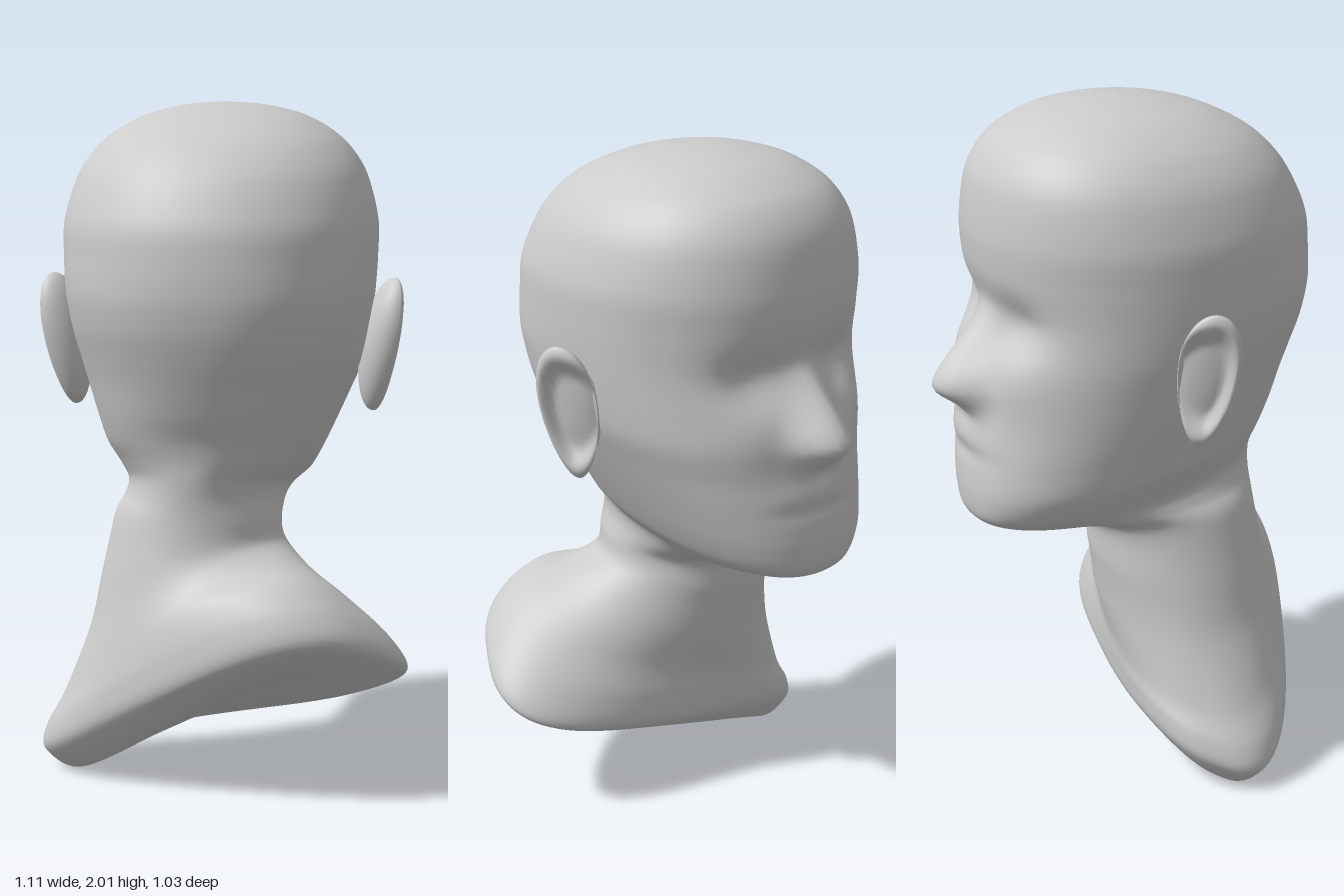
import * as THREE from 'three';

const YAW = 0.6;                                                     // the head looks away to the back right
const SIDE = new THREE.Vector3(Math.cos(YAW), 0, -Math.sin(YAW));    // across the face
const FACE = new THREE.Vector3(-Math.sin(YAW), 0, -Math.cos(YAW));   // where the face looks
const HEAD = new THREE.Vector3(-0.08, 0, -0.01);                     // vertical axis of the head
const v = (x, y, z) => new THREE.Vector3(x, y, z);
const gauss = (x, c, s) => Math.exp(-(((x - c) / s) ** 2));
const step = THREE.MathUtils.smoothstep;

// A cross-section: centre, two half axes, and (squareness, twist, taper)
const section = (c, u, f, power = 2, twist = 0, taper = 0) => ({ c, u, f, k: v(power, twist, taper) });

// Bust and neck, from the underside upwards
const bustSections = [
  section(v(0.05, 0.21, 0.165), v(0.001, 0, 0), v(0, 0, -0.001), 2.4),
  section(v(0.05, 0.2, 0.165), v(0.22, 0.1, -0.08), v(0, -0.01, -0.1), 2.4, 0.04, 0.15),
  section(v(0.05, 0.19, 0.165), v(0.41, 0.18, -0.14), v(0, -0.02, -0.19), 2.6, 0.08, 0.2),
  section(v(0.055, 0.255, 0.165), v(0.5, 0.18, -0.16), v(0, -0.03, -0.285), 2.7, 0.1, 0.2),
  section(v(0.035, 0.34, 0.17), v(0.475, 0.19, -0.14), v(0, -0.03, -0.29), 2.6, 0.1, 0.15),
  section(v(0.005, 0.43, 0.17), v(0.405, 0.19, -0.1), v(0, -0.03, -0.275), 2.3, 0.07, 0.08),
  section(v(-0.03, 0.545, 0.15), v(0.32, 0.125, -0.08), v(-0.03, -0.02, -0.265), 2, 0.02),
  section(v(-0.065, 0.66, 0.135), v(0.25, 0.06, -0.11), v(-0.09, -0.02, -0.24)),
];

// Head: front reach, front height, back reach, back height, half width, sideways shift, squareness
const headSections = [
  [0.15, 0.755, -0.365, 0.8, 0.25, -0.06, 2],
  [0.31, 0.785, -0.365, 0.87, 0.24, -0.05, 2],
  [0.44, 0.79, -0.37, 0.93, 0.245, -0.04, 2.1],
  [0.51, 0.825, -0.375, 0.98, 0.28, -0.03, 2.3],
  [0.525, 0.9, -0.39, 1.04, 0.32, -0.03, 2.35],
  [0.52, 1.0, -0.425, 1.12, 0.355, -0.02, 2.3],
  [0.51, 1.1, -0.46, 1.21, 0.39, -0.01, 2.2],
  [0.495, 1.2, -0.49, 1.29, 0.42, 0, 2.2],
  [0.475, 1.3, -0.515, 1.37, 0.44, 0, 2.2],
  [0.455, 1.43, -0.53, 1.46, 0.455, 0, 2.2],
  [0.465, 1.55, -0.53, 1.56, 0.462, 0, 2.15],
  [0.47, 1.66, -0.515, 1.67, 0.46, 0, 2.15],
  [0.45, 1.8, -0.45, 1.8, 0.42, 0, 2.15],
  [0.39, 1.895, -0.36, 1.89, 0.35, 0, 2.15],
  [0.28, 1.96, -0.23, 1.955, 0.245, 0, 2.15],
  [0.145, 1.992, -0.095, 1.988, 0.12, 0, 2.1],
  [0.026, 2, 0.024, 2, 0.001, 0, 2],
].map(([fw, fy, bw, by, half, shift, power]) => section(
  HEAD.clone().addScaledVector(FACE, (fw + bw) / 2).addScaledVector(SIDE, shift).setY((fy + by) / 2),
  SIDE.clone().multiplyScalar(half),
  FACE.clone().multiplyScalar((fw - bw) / 2).setY((fy - by) / 2),
  power,
));

// Push the features of the face out of, or into, the smooth head
function sculptFace(p) {
  const d = p.clone().sub(HEAD);
  const u = Math.abs(d.dot(SIDE));
  const w = d.dot(FACE);
  const y = p.y;
  if (y < 0.8 || y > 1.75 || w < 0.1) return;
  const mask = step(w, 0.12, 0.34);
  const ridge = (1 - step(y, 1.22, 1.46)) * step(y, 1.12, 1.22);
  const tip = gauss(y, 1.22, 0.08);
  let out = 0.11 * ridge * gauss(u, 0, 0.055 + 0.025 * tip);          // nose
  out += 0.02 * tip * gauss(u, 0.07, 0.04);                           // nostrils
  out -= 0.045 * gauss(u, 0.16, 0.1) * gauss(y, 1.41, 0.08);          // eye sockets
  out -= 0.015 * gauss(u, 0, 0.08) * gauss(y, 1.46, 0.06);            // bridge
  out += 0.015 * gauss(u, 0.2, 0.12) * gauss(y, 1.27, 0.09);          // cheeks
  out += 0.01 * gauss(u, 0, 0.12) * gauss(y, 1.07, 0.04);             // upper lip
  out -= 0.008 * gauss(u, 0, 0.13) * gauss(y, 1.02, 0.022);           // mouth
  p.addScaledVector(FACE, out * mask);
}

// One skin through all sections, smoothly interpolated
function loft(sections, around, perSection, sculpt) {
  const curve = (key) => new THREE.CatmullRomCurve3(sections.map((s) => s[key]), false, 'catmullrom', 0.45);
  const [cc, cu, cf, ck] = ['c', 'u', 'f', 'k'].map(curve);
  const rings = (sections.length - 1) * perSection;
  const positions = [];
  const index = [];
  for (let i = 0; i <= rings; i++) {
    const t = i / rings;
    const [c, u, f, k] = [cc, cu, cf, ck].map((q) => q.getPoint(t));
    for (let j = 0; j < around; j++) {
      const a = (j / around) * Math.PI * 2;
      const cos = Math.cos(a);
      const sin = Math.sin(a);
      const r = (Math.abs(cos) ** k.x + Math.abs(sin) ** k.x) ** (-1 / k.x);
      const p = c.clone().addScaledVector(u, cos * r).addScaledVector(f, sin * r * (1 + k.z * cos * r));
      p.y -= k.y * cos * sin * r * r;
      sculpt(p);
      positions.push(p.x, p.y, p.z);
      if (i < rings) {
        const n = i * around + j;
        const m = i * around + ((j + 1) % around);
        index.push(n, m, n + around, m, m + around, n + around);
      }
    }
  }
  const g = new THREE.BufferGeometry();
  g.setAttribute('position', new THREE.Float32BufferAttribute(positions, 3));
  g.setIndex(index);
  g.computeVertexNormals();
  return g;
}

// Ear: flattened ball, narrow at the lobe, its outer (+x) face hollow and open to the front (-z)
function earGeometry() {
  const g = new THREE.SphereGeometry(1, 40, 32);
  const p = g.attributes.position;
  for (let i = 0; i < p.count; i++) {
    const [x, y, z] = [p.getX(i), p.getY(i), p.getZ(i)];
    const rim = Math.hypot(y, z > 0 ? z : z * 0.6);
    const hollow = x > 0 ? 0.045 * (1 - step(rim, 0.5, 0.9)) : 0;
    const thick = x > 0 ? 0.035 : 0.07;
    const width = 0.1 * (0.85 + 0.2 * y);
    p.setXYZ(i, x * thick - hollow + 0.025 * y, y * 0.2, z * width + 0.02 * y);
  }
  g.computeVertexNormals();
  return g;
}

export function createModel() {
  const model = new THREE.Group();
  const material = new THREE.MeshStandardMaterial({ color: 0xcccccc, side: THREE.DoubleSide });

  const bust = new THREE.Mesh(loft([...bustSections, ...headSections], 112, 7, sculptFace), material);
  bust.name = 'headNeckAndShoulders';
  model.add(bust);

  // Ears, mirrored about the middle of the face
  const ears = new THREE.Group();
  ears.name = 'ears';
  ears.position.copy(HEAD);
  ears.rotation.y = YAW;
  const shape = earGeometry();
  for (const side of [1, -1]) {
    const half = new THREE.Group();
    half.scale.x = side;
    const ear = new THREE.Mesh(shape, material);
    ear.name = side > 0 ? 'earA' : 'earB';
    ear.position.set(0.485, 1.29, 0.015);
    ear.rotation.y = 0.45;
    half.add(ear);
    ears.add(half);
  }
  model.add(ears);
  return model;
}
